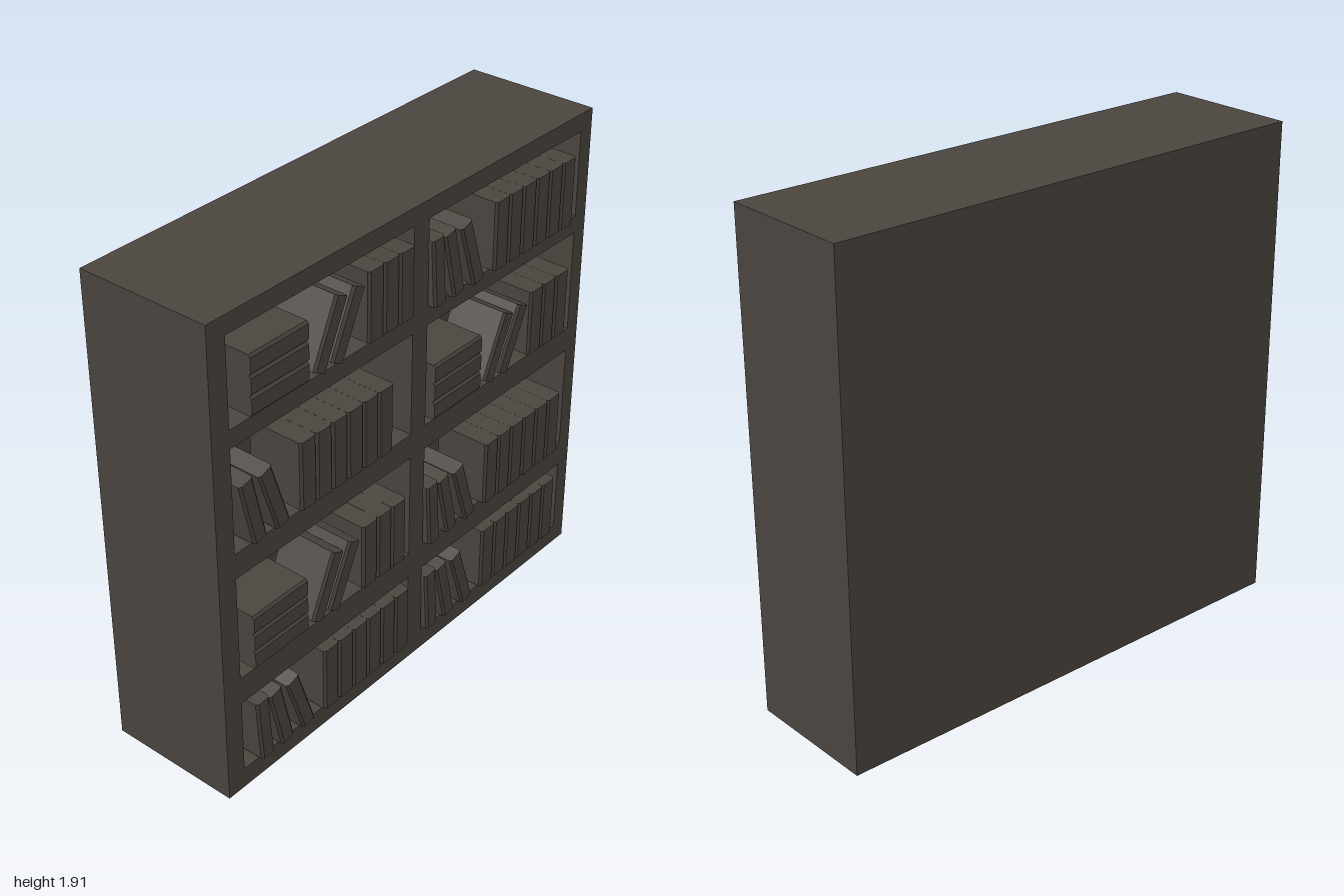
import * as THREE from 'three';

const darkWood = new THREE.MeshStandardMaterial({ color: 0x4b453f });
darkWood.name = 'darkWood';

const FRONT = 0.255, BACK = -0.28, RECESS = -0.045, HEIGHT = 1.91;
const BOOK_FRONT = 0.28, BOOK_DEPTH = 0.225;

// Book centred on its own middle: spine faces +z and has chamfered edges
function bookGeometry(width, height) {
  const w = width / 2, d = BOOK_DEPTH / 2, c = 0.009;
  const profile = new THREE.Shape([
    [-w, d], [-w, -d + c], [-w + c, -d], [w - c, -d], [w, -d + c], [w, d],
  ].map(([x, y]) => new THREE.Vector2(x, y)));
  return new THREE.ExtrudeGeometry(profile, { depth: height, bevelEnabled: false })
    .translate(0, 0, -height / 2)
    .rotateX(-Math.PI / 2);
}

const uprightBook = bookGeometry(0.079, 0.267);
const leaningBook = bookGeometry(0.064, 0.262);
const stackedBook = bookGeometry(0.075, 0.268);

function addBook(parent, name, geometry, x, y, degrees = 0) {
  const book = new THREE.Mesh(geometry, darkWood);
  book.name = name;
  book.position.set(x, y, BOOK_FRONT - BOOK_DEPTH / 2);
  book.rotation.z = THREE.MathUtils.degToRad(degrees);
  parent.add(book);
}

// Flat stack, two books leaning right, three upright; x from the left end, y from the base
function stackSet(x, y) {
  const set = new THREE.Group();
  set.name = 'stackedBookSet';
  for (let i = 0; i < 3; i++) addBook(set, 'stackedBook', stackedBook, 0.134, 0.0375 + i * 0.075, 90);
  addBook(set, 'leaningBook', leaningBook, 0.376, 0.126, -25);
  addBook(set, 'leaningBook', leaningBook, 0.462, 0.122, -25);
  for (let i = 0; i < 3; i++) addBook(set, 'uprightBook', uprightBook, 0.602 + i * 0.0795, 0.137);
  set.position.set(x, y, 0);
  return set;
}

// Books leaning left by growing angles, then six upright
function rowSet(x, y, firstLeaning = 0) {
  const set = new THREE.Group();
  set.name = 'uprightBookSet';
  const leaning = [[0.038, 0.13, 4], [0.122, 0.128, 13], [0.222, 0.126, 18]];
  for (const [bx, by, angle] of leaning.slice(firstLeaning)) {
    addBook(set, 'leaningBook', leaningBook, bx, by, angle);
  }
  for (let i = 0; i < 6; i++) addBook(set, 'uprightBook', uprightBook, 0.388 + i * 0.0795, 0.134);
  set.position.set(x, y, 0);
  return set;
}

function rectangle(Type, x0, y0, x1, y1) {
  return new Type([[x0, y0], [x1, y0], [x1, y1], [x0, y1]].map(([x, y]) => new THREE.Vector2(x, y)));
}

export function createModel() {
  const model = new THREE.Group();
  model.name = 'bookcase';

  // Frame with two columns and four rows of openings
  const face = rectangle(THREE.Shape, -1, 0, 1, HEIGHT);
  for (const [x0, x1] of [[-0.92, -0.02], [0.06, 0.935]]) {
    for (const [y0, y1] of [[0.083, 0.385], [0.495, 0.92], [1.02, 1.43], [1.5, 1.84]]) {
      face.holes.push(rectangle(THREE.Path, x0, y0, x1, y1));
    }
  }
  const frame = new THREE.Mesh(
    new THREE.ExtrudeGeometry(face, { depth: FRONT - RECESS, bevelEnabled: false }), darkWood);
  frame.name = 'shelfFrame';
  frame.position.z = RECESS;
  model.add(frame);

  // Thick back block behind the openings
  const back = new THREE.Mesh(new THREE.BoxGeometry(2, HEIGHT, RECESS - BACK), darkWood);
  back.name = 'backBlock';
  back.position.set(0, HEIGHT / 2, (RECESS + BACK) / 2);
  model.add(back);

  // Books, from the top row down
  model.add(
    stackSet(-0.842, 1.517), rowSet(0.056, 1.501),
    rowSet(-0.971, 1.036, 1), stackSet(0.08, 1.04),
    stackSet(-0.869, 0.515), rowSet(0.056, 0.495),
    rowSet(-0.867, 0.093), rowSet(0.056, 0.093),
  );
  return model;
}
